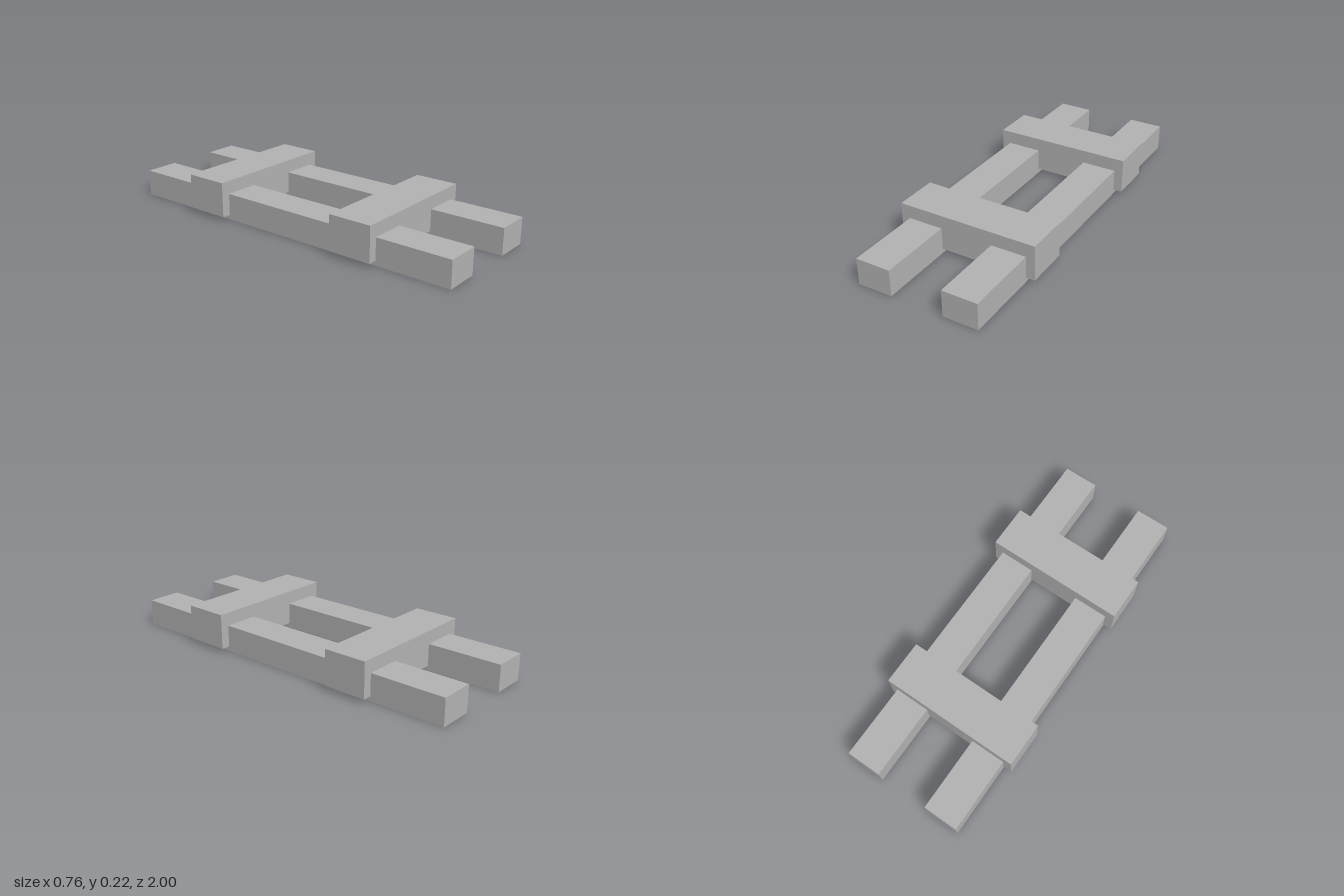
import * as THREE from 'three';

export function createModel() {
  const model = new THREE.Group();
  model.name = 'trackFrame';

  const grey = new THREE.MeshStandardMaterial({ color: 0xb2b2b2 });
  grey.name = 'plain grey';

  const addBox = (name, size, position) => {
    const mesh = new THREE.Mesh(new THREE.BoxGeometry(...size), grey);
    mesh.name = name;
    mesh.position.set(...position);
    model.add(mesh);
  };

  // Two long rails on the ground
  for (const [side, s] of [['left', 1], ['right', -1]]) {
    addBox(`${side}Rail`, [0.19, 0.143, 2], [s * 0.238, 0.0715, 0]);
  }

  // Two raised cross beams let into the rails
  for (const [end, s] of [['front', 1], ['back', -1]]) {
    addBox(`${end}CrossBeam`, [0.762, 0.19, 0.238], [0, 0.12, s * 0.476]);
  }

  return model;
}
